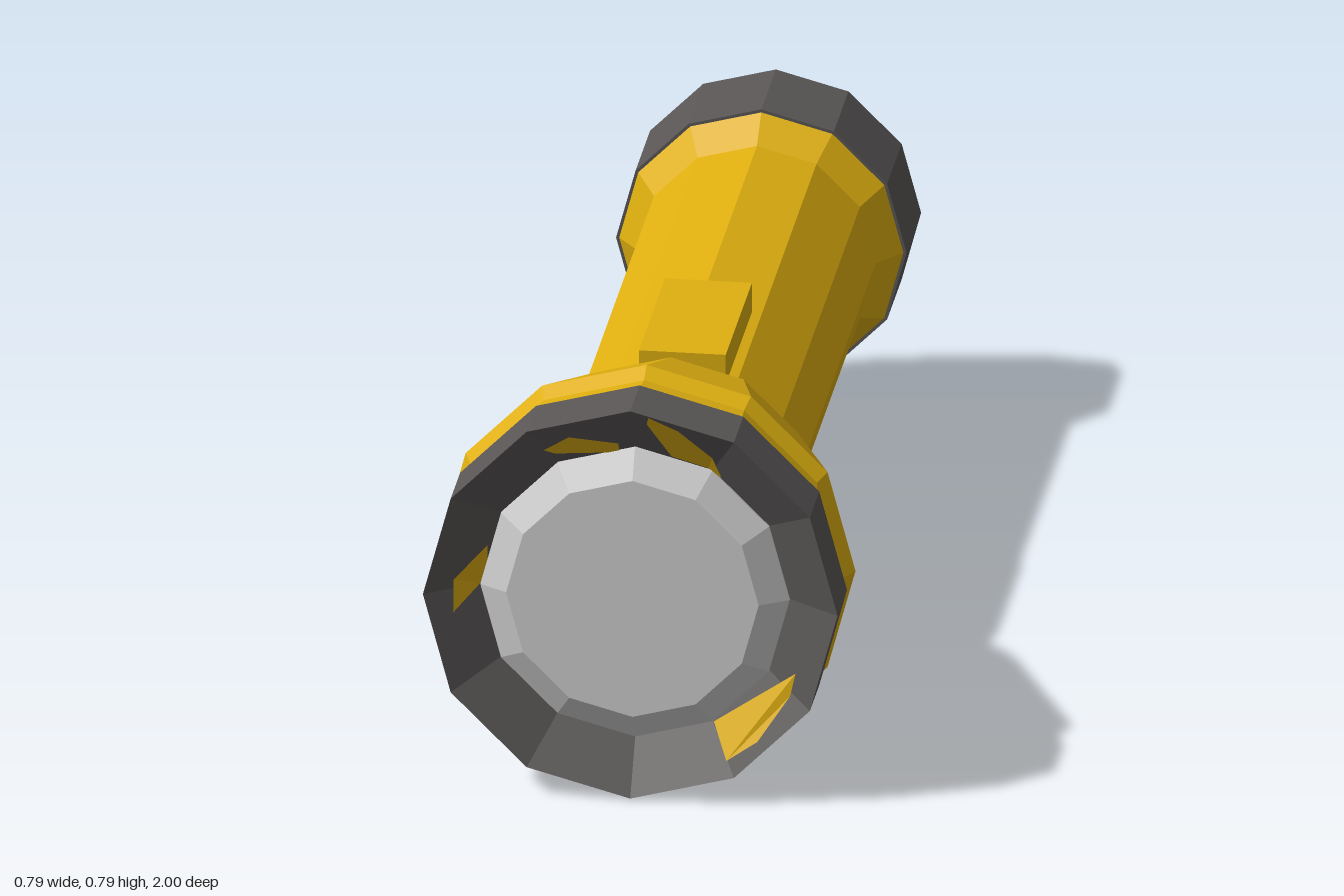
import * as THREE from 'three';

const SIDES = 12;
const AXIS_Y = 0.4;

const yellow = new THREE.MeshStandardMaterial({ color: 0xe0b010 });
yellow.name = 'yellowPlastic';
const grey = new THREE.MeshStandardMaterial({ color: 0x5a5656 });
grey.name = 'darkGreyRubber';
const silver = new THREE.MeshStandardMaterial({ color: 0xcfcfcf });
silver.name = 'paleLens';

// Faceted shape turned around the z axis; profile is [radius, z] from back to front
function turned(name, profile, material) {
  const points = profile.map(([r, z]) => new THREE.Vector2(r, z));
  const geometry = new THREE.LatheGeometry(points, SIDES).rotateX(Math.PI / 2).toNonIndexed();
  geometry.computeVertexNormals();
  const mesh = new THREE.Mesh(geometry, material);
  mesh.name = name;
  mesh.position.y = AXIS_Y;
  return mesh;
}

// Depth of the twelve-sided funnel inside the head at a point around the axis
function funnelZ(x, y) {
  let apothem = 0;
  for (let i = 0; i < SIDES; i++) {
    const a = ((i + 0.5) / SIDES) * Math.PI * 2;
    apothem = Math.max(apothem, x * Math.cos(a) + y * Math.sin(a));
  }
  const r = apothem / Math.cos(Math.PI / SIDES);
  return 1 - ((0.394 - r) / 0.114) * 0.08;
}

// Thin yellow patch lying on the funnel
function patch(outline) {
  const shape = new THREE.Shape(outline.map(([x, y]) => new THREE.Vector2(x, y - AXIS_Y)));
  let geometry = new THREE.ShapeGeometry(shape);
  const p = geometry.attributes.position;
  for (let i = 0; i < p.count; i++) p.setZ(i, Math.min(0.999, funnelZ(p.getX(i), p.getY(i)) + 0.003));
  geometry = geometry.toNonIndexed();
  geometry.computeVertexNormals();
  const mesh = new THREE.Mesh(geometry, yellow);
  mesh.name = 'funnelPatch';
  mesh.position.y = AXIS_Y;
  return mesh;
}

export function createModel() {
  const model = new THREE.Group();
  model.name = 'flashlight';

  // Handle tube with its rear collar and flared head
  model.add(turned('body', [
    [0.27, -0.8], [0.226, -0.74], [0.226, 0.38], [0.276, 0.44],
    [0.397, 0.775], [0.38, 0.81], [0.388, 0.87],
  ], yellow));

  // Closed cap at the tail
  model.add(turned('tailCap', [[0, -1], [0.276, -1], [0.276, -0.8], [0.2, -0.8]], grey));

  // Front ring with the funnel leading in to the lens
  model.add(turned('headRing', [[0.36, 0.87], [0.394, 0.87], [0.394, 1], [0.28, 0.92]], grey));

  // Bevelled lens
  model.add(turned('lens', [[0.294, 0.91], [0.294, 0.935], [0.24, 0.97], [0, 0.97]], silver));

  // Yellow patches showing in the funnel
  [
    [[-0.17, 0.69], [-0.12, 0.725], [-0.03, 0.705], [-0.03, 0.68], [-0.15, 0.68]],
    [[0.015, 0.79], [0.09, 0.755], [0.15, 0.69], [0.165, 0.64], [0.14, 0.66], [0.07, 0.68]],
    [[-0.34, 0.355], [-0.34, 0.42], [-0.28, 0.48], [-0.28, 0.43], [-0.295, 0.4]],
    [[0.15, 0.145], [0.31, 0.265], [0.3, 0.22], [0.24, 0.13], [0.18, 0.085]],
  ].forEach((outline) => model.add(patch(outline)));

  // Sliding switch on top of the handle
  const button = new THREE.Mesh(new THREE.BoxGeometry(0.165, 0.07, 0.36), yellow);
  button.name = 'switch';
  button.position.set(0.0125, 0.625, 0.195);
  model.add(button);

  return model;
}
